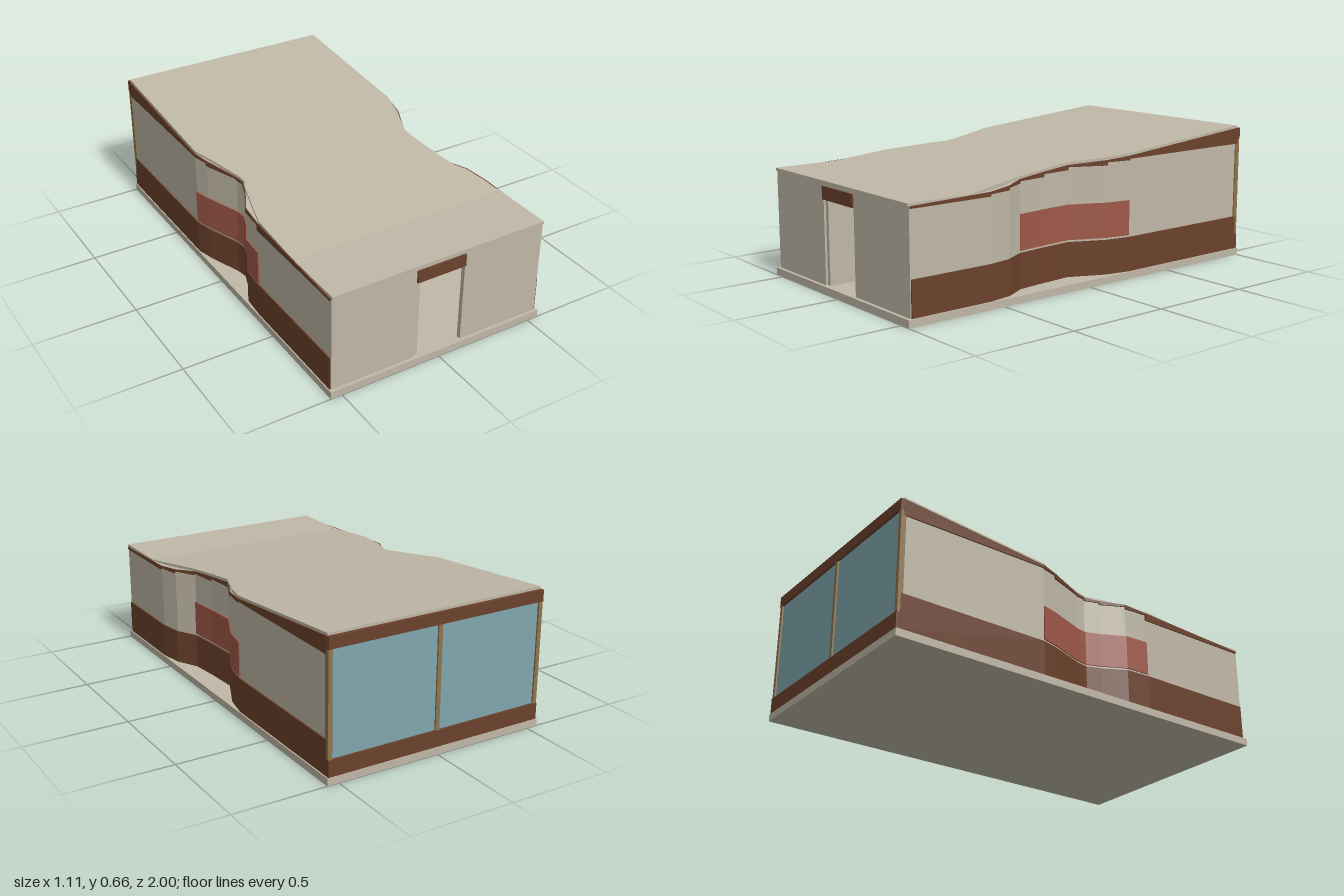
import * as THREE from 'three';
import { ConvexGeometry } from 'three/addons/geometries/ConvexGeometry.js';

function material(name, color) {
  const m = new THREE.MeshStandardMaterial({ color });
  m.name = name;
  return m;
}

export function createModel() {
  const model = new THREE.Group();
  model.name = 'pavilion';
  const cream = material('cream plaster', 0xc0b8a7);
  const brown = material('brown cladding', 0x6b412b);
  const red = material('red panel', 0x9f5847);
  const glass = material('blue glass', 0x7fa6ad);
  const tan = material('tan frame', 0x8f744c);

  // Box from its minimum and maximum corners
  function box(name, mat, x0, x1, y0, y1, z0, z1) {
    const mesh = new THREE.Mesh(new THREE.BoxGeometry(x1 - x0, y1 - y0, z1 - z0), mat);
    mesh.position.set((x0 + x1) / 2, (y0 + y1) / 2, (z0 + z1) / 2);
    mesh.name = name;
    model.add(mesh);
  }

  // Roof: level at the front, then rising to the back
  const roofThickness = 0.012;
  const roofTop = z => 0.515 + Math.max(0, 0.68 - z) * 0.0873;
  const roofUnder = z => roofTop(z) - roofThickness;

  function roofPanel(name, outline) {
    const shape = new THREE.Shape(outline.map(([x, z]) => new THREE.Vector2(x, -z)));
    const g = new THREE.ExtrudeGeometry(shape, { depth: roofThickness, bevelEnabled: false });
    g.rotateX(-Math.PI / 2);
    const p = g.attributes.position;
    for (let i = 0; i < p.count; i++) p.setY(i, p.getY(i) + roofUnder(p.getZ(i)));
    g.computeVertexNormals();
    const mesh = new THREE.Mesh(g, cream);
    mesh.name = name;
    model.add(mesh);
  }
  roofPanel('frontRoof', [[-0.545, 0.99], [0.545, 0.99], [0.545, 0.68], [-0.545, 0.68]]);
  roofPanel('waistRoof', [
    [-0.545, 0.68], [0.545, 0.68], [0.47, 0.35], [0.45, 0.15], [0.445, 0.06], [0.515, -0.12], [0.545, -0.24],
    [-0.545, -0.24], [-0.51, -0.14], [-0.46, 0.03], [-0.455, 0.08], [-0.48, 0.14], [-0.545, 0.38],
  ]);
  roofPanel('backRoof', [[-0.545, -0.24], [0.545, -0.24], [0.545, -0.98], [-0.545, -0.98]]);

  // Floor slab
  box('floorSlab', cream, -0.556, 0.556, 0, 0.035, -1, 1);

  // Wall band along a plan path, one prism per straight run
  function band(name, mat, path, inner, outer, bottom, top) {
    const group = new THREE.Group();
    group.name = name;
    for (let i = 0; i < path.length - 1; i++) {
      const pts = [];
      for (const [x, z] of [path[i], path[i + 1]]) {
        for (const off of [inner, outer]) {
          const px = x + Math.sign(x) * off;
          pts.push(new THREE.Vector3(px, bottom(z, path[i][1]), z));
          pts.push(new THREE.Vector3(px, top(z, path[i][1]), z));
        }
      }
      group.add(new THREE.Mesh(new ConvexGeometry(pts), mat));
    }
    model.add(group);
  }

  const leftPath = [[0.545, 0.98], [0.545, 0.57], [0.525, 0.455], [0.47, 0.35], [0.454, 0.2],
    [0.445, 0.05], [0.522, -0.12], [0.545, -0.24], [0.545, -0.98]];
  const rightPath = [[-0.545, 0.98], [-0.545, 0.37], [-0.537, 0.25], [-0.48, 0.14], [-0.455, 0.07],
    [-0.462, 0.02], [-0.525, -0.16], [-0.545, -0.24], [-0.545, -0.98]];
  const level = y => () => y;
  // Lower edge of the top trim steps up run by run
  const trimEdge = (z, startZ) => Math.min(0.57, roofTop(startZ) - 0.022);

  for (const [side, path, panel] of [
    ['left', leftPath, leftPath.slice(3, 8)],
    ['right', rightPath, rightPath.slice(1, 8)],
  ]) {
    band(side + 'Wall', cream, path, -0.02, 0, level(0.035), roofUnder);
    band(side + 'BaseCladding', brown, path, 0, 0.006, level(0.036), level(0.2));
    band(side + 'TopTrim', brown, path, 0, 0.006, trimEdge, roofUnder);
    band(side + 'RedPanel', red, panel, 0, 0.006, level(0.21), level(0.375));
  }

  // Front wall with doorway, lintel and open door leaf
  for (const s of [-1, 1]) {
    box('frontWall', cream, s < 0 ? -0.545 : 0.125, s < 0 ? -0.125 : 0.545, 0.035, 0.503, 0.962, 0.984);
  }
  box('wallOverDoor', cream, -0.125, 0.125, 0.49, 0.503, 0.962, 0.984);
  box('doorLintel', brown, -0.125, 0.125, 0.43, 0.49, 0.962, 0.992);
  box('openDoor', cream, -0.123, -0.102, 0.036, 0.43, 0.74, 0.975);

  // Glazed back wall
  box('backSill', brown, -0.55, 0.55, 0.035, 0.112, -0.998, -0.97);
  box('backHeader', brown, -0.55, 0.55, 0.595, 0.648, -0.998, -0.97);
  box('backGlass', glass, -0.54, 0.54, 0.112, 0.595, -0.987, -0.979);
  for (const x of [-0.54, 0, 0.54]) {
    box('windowPost', tan, x - 0.01, x + 0.01, 0.112, 0.595, -0.995, -0.97);
  }

  return model;
}
